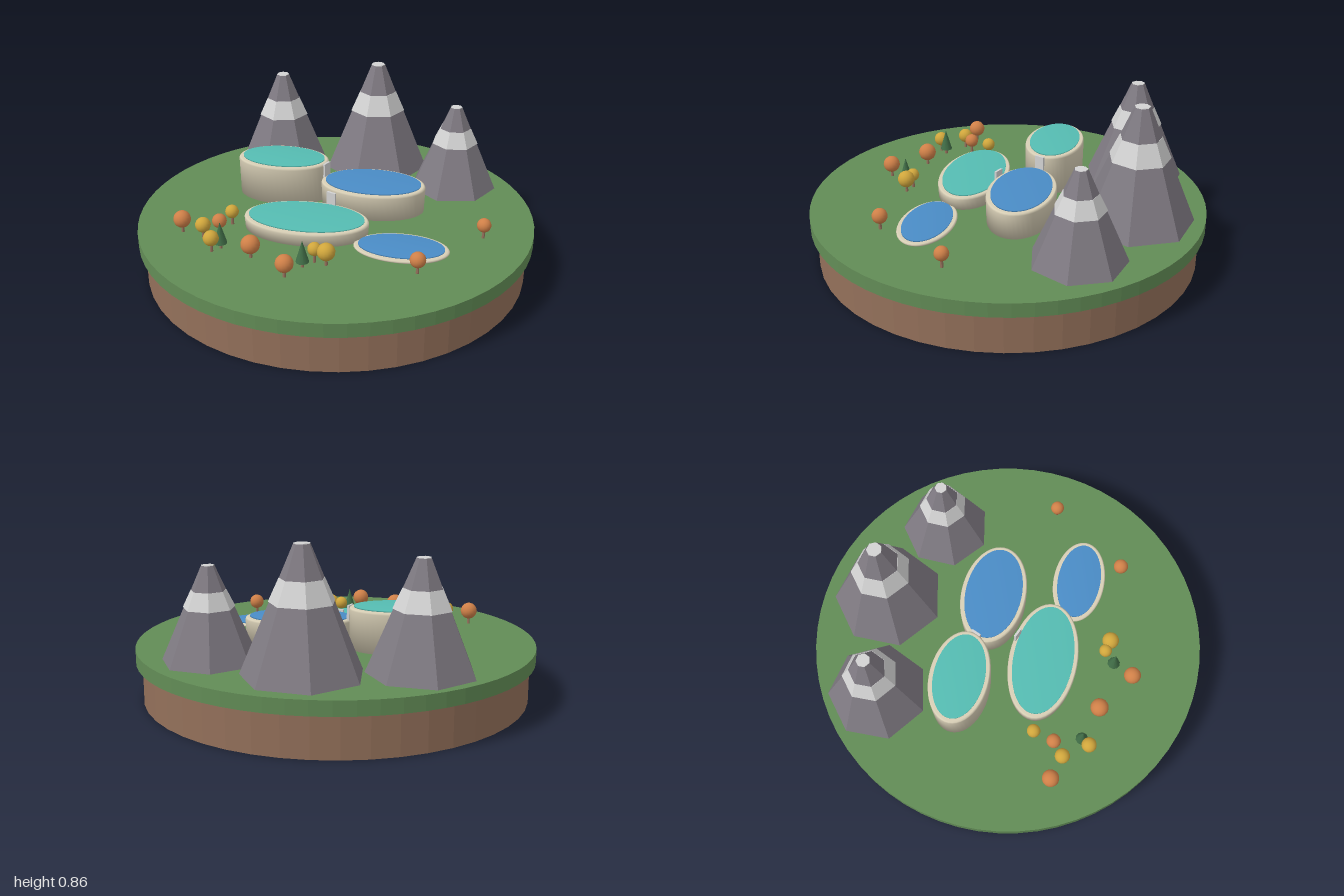
import * as THREE from 'three';
import { mergeVertices } from 'three/addons/utils/BufferGeometryUtils.js';

function material(name, color, flatShading = false) {
  const m = new THREE.MeshStandardMaterial({ color, flatShading });
  m.name = name;
  return m;
}

// Weld a geometry so that its normals run smoothly over every edge
function smooth(geometry) {
  geometry.deleteAttribute('uv');
  geometry.deleteAttribute('normal');
  const welded = mergeVertices(geometry);
  welded.computeVertexNormals();
  return welded;
}

export function createModel() {
  const grass = material('grass', 0x628c56, true);
  const earth = material('earth', 0x93705a, true);
  const rock = material('rock', 0x7f7a82, true);
  const snow = material('snow', 0xd2d2d2, true);
  const stone = material('pale stone', 0xd8cfb6);
  const teal = material('teal water', 0x55bcb2);
  const blue = material('blue water', 0x4a8cc6);
  const orange = material('orange leaves', 0xcf8048);
  const yellow = material('yellow leaves', 0xd0a63c);
  const pine = material('pine needles', 0x426f48);

  const model = new THREE.Group();
  model.name = 'terracedPoolIsland';
  const ground = 0.27;

  function add(parent, name, geometry, mat, x = 0, y = 0, z = 0) {
    const mesh = new THREE.Mesh(geometry, mat);
    mesh.name = name;
    mesh.position.set(x, y, z);
    parent.add(mesh);
    return mesh;
  }
  function group(name, x, z) {
    const g = new THREE.Group();
    g.name = name;
    g.position.set(x, ground, z);
    model.add(g);
    return g;
  }

  // Round island: earth drum under a slightly wider grass slab
  add(model, 'earthBase', new THREE.CylinderGeometry(0.97, 0.97, 0.2, 48), earth, 0, 0.1, 0);
  add(model, 'grassTop', new THREE.CylinderGeometry(1, 1, 0.07, 64), grass, 0, 0.235, 0);

  // Seven-sided mountains with a band of snow and a snowy tip
  const mountains = [
    [-0.195, -0.70, 0.255, 0.52, 0.34],
    [0.32, -0.59, 0.285, 0.588, 0.316],
    [0.675, -0.24, 0.23, 0.45, 0.287],
  ];
  for (const [x, z, r, h, turn] of mountains) {
    const g = group('mountain', x, z);
    g.rotation.y = turn;
    const tip = r * 0.13;
    const radiusAt = t => r + (tip - r) * t;
    const layer = (name, from, to, mat, extra) => add(g, name,
      new THREE.CylinderGeometry(radiusAt(to) + extra * 0.3, radiusAt(from) + extra, (to - from) * h, 7),
      mat, 0, (from + to) / 2 * h, 0);
    layer('lowerSlope', 0, 0.56, rock, 0);
    layer('snowBand', 0.56, 0.74, snow, 0.005);
    layer('upperSlope', 0.74, 0.995, rock, 0);
    layer('snowTip', 0.995, 1, snow, 0);
  }

  // Oval stone basins stepping down towards the front, filled with water
  const pools = [
    [-0.237, -0.277, 0.241, 0.150, 0.475, teal],
    [0.20, -0.045, 0.270, 0.168, 0.405, blue],
    [-0.17, 0.157, 0.313, 0.176, 0.337, teal],
    [0.253, 0.42, 0.231, 0.136, 0.283, blue],
  ];
  for (const [x, z, a, b, top, water] of pools) {
    const g = group('pool', x, z);
    g.rotation.y = -THREE.MathUtils.degToRad(20);
    const h = top - ground;
    const bevel = Math.min(0.012, h * 0.6);
    const profile = [
      [0, 0], [a - 0.004, 0], [a, h - bevel], [a - 0.004, h - bevel * 0.3], [a - 0.012, h], [0, h],
    ].map(p => new THREE.Vector2(...p));
    const wall = add(g, 'basinWall', new THREE.LatheGeometry(profile, 48), stone);
    wall.scale.z = b / a;
    const rim = 0.023;
    const disc = new THREE.CylinderGeometry(1, 1, 0.008, 48);
    disc.scale(a - rim, 1, b - rim);
    add(g, 'water', smooth(disc), water, 0, h + 0.002, 0);
  }

  // Little falls spilling from each basin to the next
  const falls = [
    [-0.025, -0.165, 0.40, 0.475, 0.8],
    [-0.03, 0.045, 0.337, 0.407, -0.75],
    [0.065, 0.29, 0.283, 0.34, 0.75],
  ];
  for (const [x, z, low, high, turn] of falls) {
    const fall = add(model, 'waterfall', new THREE.BoxGeometry(0.05, high - low, 0.012), snow, x, (low + high) / 2, z);
    fall.rotation.y = turn;
  }

  // Round autumn trees: x, z, crown radius, colour
  const roundTrees = [
    [-0.775, 0.095, 0.043, orange], [-0.675, 0.17, 0.038, yellow],
    [-0.595, 0.14, 0.036, orange], [-0.53, 0.05, 0.034, yellow],
    [-0.64, 0.31, 0.038, yellow], [-0.46, 0.395, 0.046, orange],
    [-0.32, 0.59, 0.043, orange], [-0.17, 0.48, 0.033, yellow],
    [-0.12, 0.515, 0.043, yellow], [0.67, 0.37, 0.035, orange],
    [0.28, 0.645, 0.038, orange],
  ];
  const trunk = new THREE.CylinderGeometry(0.006, 0.008, 0.05, 8);
  for (const [x, z, r, leaves] of roundTrees) {
    const g = group('roundTree', x, z);
    add(g, 'trunk', trunk, earth, 0, 0.025, 0);
    add(g, 'crown', new THREE.SphereGeometry(r, 16, 12), leaves, 0, 0.07, 0);
  }

  // Pines
  for (const [x, z] of [[-0.595, 0.285], [-0.23, 0.515]]) {
    const g = group('pineTree', x, z);
    add(g, 'trunk', trunk, earth, 0, 0.025, 0);
    add(g, 'needles', new THREE.ConeGeometry(0.032, 0.11, 10), pine, 0, 0.083, 0);
  }

  return model;
}
